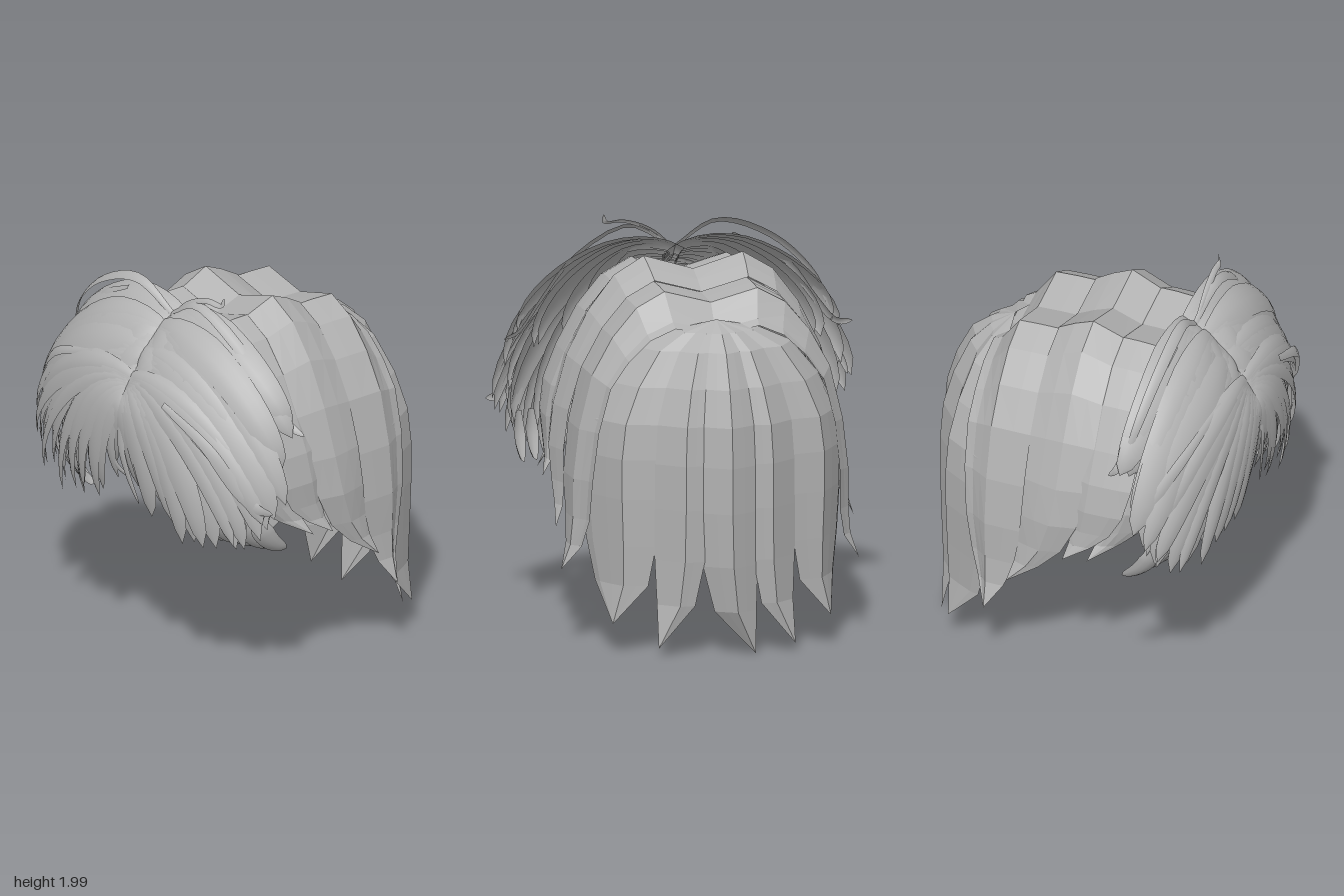
import * as THREE from 'three';

const V = (x, y, z) => new THREE.Vector3(x, y, z);
const mix = THREE.MathUtils.lerp;
const hair = new THREE.MeshStandardMaterial({ color: 0xb2b2b2, side: THREE.DoubleSide });
hair.name = 'hairGrey';

// Seeded jitter in -1..1
let seed = 11;
const jitter = () => {
  seed = (seed * 16807) % 2147483647;
  return (seed / 2147483647) * 2 - 1;
};

// Surface through rows of points, faceted or smooth
function sheet(name, rows, flat) {
  const n = rows[0].length, pos = [], idx = [];
  rows.forEach(r => r.forEach(p => pos.push(p.x, p.y, p.z)));
  for (let i = 0; i < rows.length - 1; i++)
    for (let j = 0; j < n - 1; j++) {
      const a = i * n + j, b = a + n;
      idx.push(a, b, a + 1, a + 1, b, b + 1);
    }
  let g = new THREE.BufferGeometry();
  g.setAttribute('position', new THREE.Float32BufferAttribute(pos, 3));
  g.setIndex(idx);
  if (flat) g = g.toNonIndexed();
  g.computeVertexNormals();
  const m = new THREE.Mesh(g, hair);
  m.name = name;
  return m;
}

// Side band: an arch from the parting down to a pointed tip; each row is x, y, drift to the tip
const ARCH = [[0, 1.785, 0], [.25, 1.86, 0], [.4, 1.77, 0], [.53, 1.6, 0], [.64, 1.38, 0],
  [.71, 1.14, .04], [.74, .94, .15], [.74, .78, .35], [.75, .67, .62], [.79, .57, 1]];
function sideBand(side, { z, s, tip }) {
  const rows = ARCH.map(([x, y, d]) => z.map((zk, k) => {
    const low = y < 1.38 ? 1.38 - (1.38 - y) * (1.38 - tip[1]) / .81 : y;
    const yy = low > 1.2 ? 1.2 + (low - 1.2) * (1 - 2.5 * (1 - s[k])) : low;
    return V(side * x * mix(s[k], .95, d ** 2), yy, mix(zk, tip[0], d));
  }));
  return sheet('sideBand', rows, true);
}

// Back lock: fans out from the crown and hangs to a pointed tip; each row is spread, y, drift
const FALL = [[0, 1.63, 0], [.34, 1.58, 0], [.6, 1.5, 0], [.82, 1.33, 0], [.96, 1.15, 0],
  [1, .95, 0], [1, .72, 0], [.98, .45, .06], [.95, .22, .26], [.95, 0, 1]];
function backLock(side, plan, tip) {
  const rows = FALL.map(([f, y, d]) => plan.map(([x, z]) => {
    const yy = y < 1.15 ? 1.15 - (1.15 - y) * (1.15 - tip[1]) / 1.15 : y;
    return V(side * mix(x * f, tip[0], d), yy, mix(-.48 + f * (z + .48), tip[2], d));
  }));
  return sheet('backLock', rows, true);
}

// Fringe lock: a tapering bowed ribbon along a curve, facing away from the head
function ribbon(name, curve, width, bulge, steps = 14) {
  const rows = [], head = V(0, 1.1, -.1);
  for (let i = 0; i <= steps; i++) {
    const t = i / steps, p = curve.getPoint(t), along = curve.getTangent(t);
    const out = p.clone().sub(head).normalize();
    const across = along.clone().cross(out).normalize();
    out.crossVectors(across, along).normalize();
    const w = width * Math.min(1, .45 + 1.6 * t) * Math.sqrt(Math.max(0, 1 - t ** 3));
    rows.push([-1, -.55, 0, .55, 1].map(k => p.clone()
      .addScaledVector(across, k * w / 2)
      .addScaledVector(out, bulge * (1 - k * k) * w / width)));
  }
  return sheet(name, rows, false);
}

// One fringe layer: locks spread from a stretch of the parting to a curve of tips
function fringeLayer({ root, next, tips, count, width }) {
  const group = new THREE.Group();
  group.name = 'fringeLayer';
  const ends = new THREE.CatmullRomCurve3(tips.map(p => V(...p)));
  for (const side of [-1, 1])
    for (let i = 0; i < count; i++) {
      const u = i / (count - 1), e = ends.getPoint(u);
      e.x += .02 * jitter();
      e.y += .04 * jitter();
      const oy = mix(root[0], next[0], u), oz = mix(root[1], next[1], u);
      const flick = (i % 2 ? .05 : -.01) * (e.x > .6 ? 1 : -.8);
      const pts = [
        V(-.03, oy, oz),
        V(e.x * .33, oy + .22 * e.x, oz + .06),
        V(e.x, mix(e.y, oy, .56), e.z + .09),
        V(e.x + flick, e.y, e.z),
      ].map(p => p.setX(p.x * side));
      group.add(ribbon('fringeLock', new THREE.CubicBezierCurve3(...pts),
        width * (1 + .2 * jitter()), .02));
    }
  return group;
}

export function createModel() {
  const model = new THREE.Group();
  model.name = 'hair';
  const shell = new THREE.Group();
  shell.name = 'shell';
  const fringe = new THREE.Group();
  fringe.name = 'fringe';
  model.add(shell, fringe);

  // Side bands, front to back
  const bands = [
    { z: [.57, .5, .42, .35, .27], s: [.81, .86, .905, .925, .915], tip: [.21, .79] },
    { z: [.43, .36, .28, .2, .12], s: [.95, .96, .963, .963, .93], tip: [.08, .77] },
    { z: [.2, .12, .04, -.06, -.15], s: [.96, .98, 1, .975, .945], tip: [-.22, .57] },
    { z: [-.11, -.24, -.36, -.41, -.46, -.51], s: [.94, .94, .937, .895, .855, .84], tip: [-.34, .38] },
  ];
  // Back locks beside the centre one
  const backs = [
    [[[.34, -.68], [.42, -.66], [.51, -.64], [.57, -.54], [.63, -.43], [.65, -.36]], [.55, .15, -.61]],
    [[[.11, -.78], [.17, -.785], [.22, -.79], [.29, -.73], [.36, -.67]], [.345, .04, -.73]],
  ];
  for (const side of [-1, 1]) {
    bands.forEach(b => shell.add(sideBand(side, b)));
    backs.forEach(([plan, tip]) => shell.add(backLock(side, plan, tip)));
  }
  shell.add(backLock(1, [[-.15, -.77], [-.07, -.82], [0, -.86], [.07, -.82], [.15, -.77]], [-.14, 0, -.75]));

  // Fringe layers, from the short one on top of the head to the forehead
  const layers = [
    { root: [1.79, .44], next: [1.73, .55], count: 7, width: .2,
      tips: [[.81, 1.42, .41], [.77, 1.34, .42], [.66, 1.36, .45], [.48, 1.45, .5], [.28, 1.58, .57]] },
    { root: [1.74, .55], next: [1.63, .66], count: 8, width: .19,
      tips: [[.84, 1.2, .5], [.83, 1, .54], [.73, .92, .56], [.55, .95, .6], [.36, 1.05, .66]] },
    { root: [1.63, .65], next: [1.5, .74], count: 10, width: .18,
      tips: [[.84, 1.14, .56], [.8, .9, .6], [.68, .82, .64], [.48, .8, .69], [.26, .92, .74]] },
    { root: [1.52, .74], next: [1.45, .77], count: 11, width: .14,
      tips: [[.83, 1.05, .6], [.75, .85, .65], [.53, .79, .73], [.32, .85, .77], [.16, .93, .77], [.08, 1.02, .75]] },
  ];
  layers.forEach(l => fringe.add(fringeLayer(l)));

  // Tufts curling back under the fringe
  for (const side of [-1, 1])
    for (let i = 0; i < 5; i++) {
      const x = .48 + .07 * i;
      fringe.add(ribbon('underTuft', new THREE.QuadraticBezierCurve3(
        V(side * x, 1, .7 - .03 * i), V(side * x, .84, .68 - .03 * i),
        V(side * (x + .02), .78, .55 - .035 * i)), .12, .02));
    }

  // Loose wisps
  const wisps = [
    [.035, [0, 1.8, .48], [.12, 1.9, .48], [.26, 1.95, .47], [.35, 1.95, .46], [.36, 1.99, .45]],
    [.06, [0, 1.81, .48], [-.22, 1.93, .5], [-.5, 1.84, .5], [-.7, 1.65, .47], [-.78, 1.47, .43]],
    [.06, [0, 1.81, .48], [.22, 1.92, .5], [.5, 1.78, .48], [.68, 1.57, .45], [.8, 1.43, .4], [.88, 1.4, .38]],
    [.06, [-.3, 1.86, .5], [-.55, 1.73, .47], [-.7, 1.53, .43], [-.8, 1.42, .4], [-.88, 1.42, .38]],
    [.07, [.3, 1.5, .8], [.6, 1.35, .77], [.75, 1.15, .7], [.83, 1.07, .65], [.92, 1.06, .62]],
    [.06, [-.3, 1.58, .74], [-.6, 1.48, .7], [-.78, 1.33, .62], [-.86, 1.2, .56], [-.89, 1.12, .53]],
    [.05, [-.02, 1.46, .78], [-.08, 1.35, .81], [-.1, 1.2, .81], [-.06, 1.07, .79], [.01, 1.02, .77]],
    [.05, [.02, 1.46, .78], [.02, 1.35, .82], [.02, 1.2, .83], [.05, 1.05, .81], [.1, .9, .78]],
  ];
  wisps.forEach(([w, ...p]) => fringe.add(
    ribbon('wisp', new THREE.CatmullRomCurve3(p.map(q => V(...q))), w, .006, 18)));

  model.children.forEach(g => { g.position.x = -.022; });
  return model;
}
